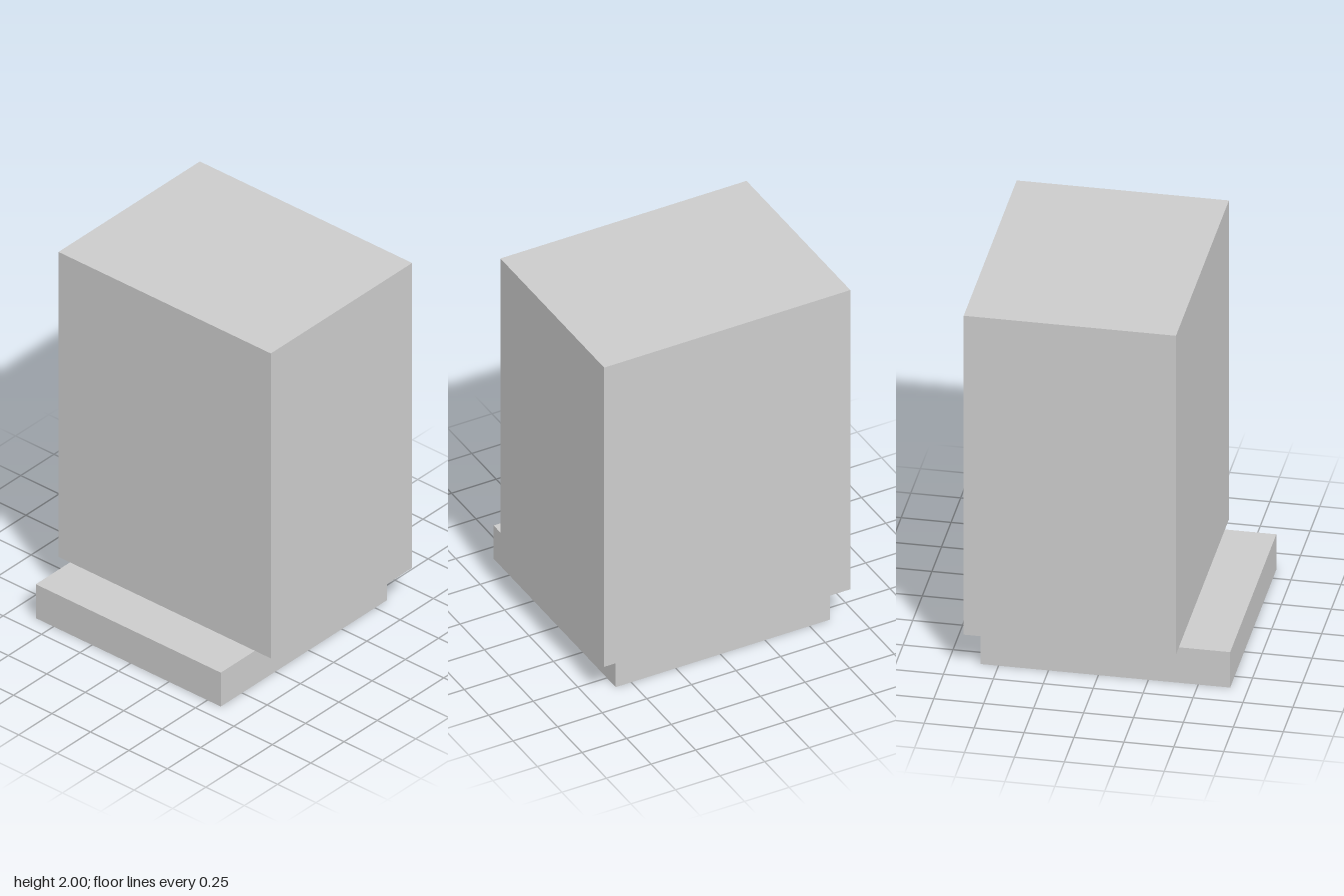
import * as THREE from 'three';

const material = new THREE.MeshStandardMaterial({ color: 0xcccccc, flatShading: true });

// Box given by its lower and upper corners
function block(name, [x0, y0, z0], [x1, y1, z1]) {
  const mesh = new THREE.Mesh(new THREE.BoxGeometry(x1 - x0, y1 - y0, z1 - z0), material);
  mesh.position.set((x0 + x1) / 2, (y0 + y1) / 2, (z0 + z1) / 2);
  mesh.name = name;
  return mesh;
}

export function createModel() {
  const model = new THREE.Group();
  model.name = 'blockOnPlinth';

  // Low plinth, slightly off-centre and reaching out at the front
  model.add(block('plinth', [-0.615, 0, -0.59], [0.587, 0.2, 0.66]));

  // Tall body, overhanging the plinth at the sides and back
  model.add(block('body', [-0.69, 0.2, -0.66], [0.69, 2, 0.403]));

  return model;
}
